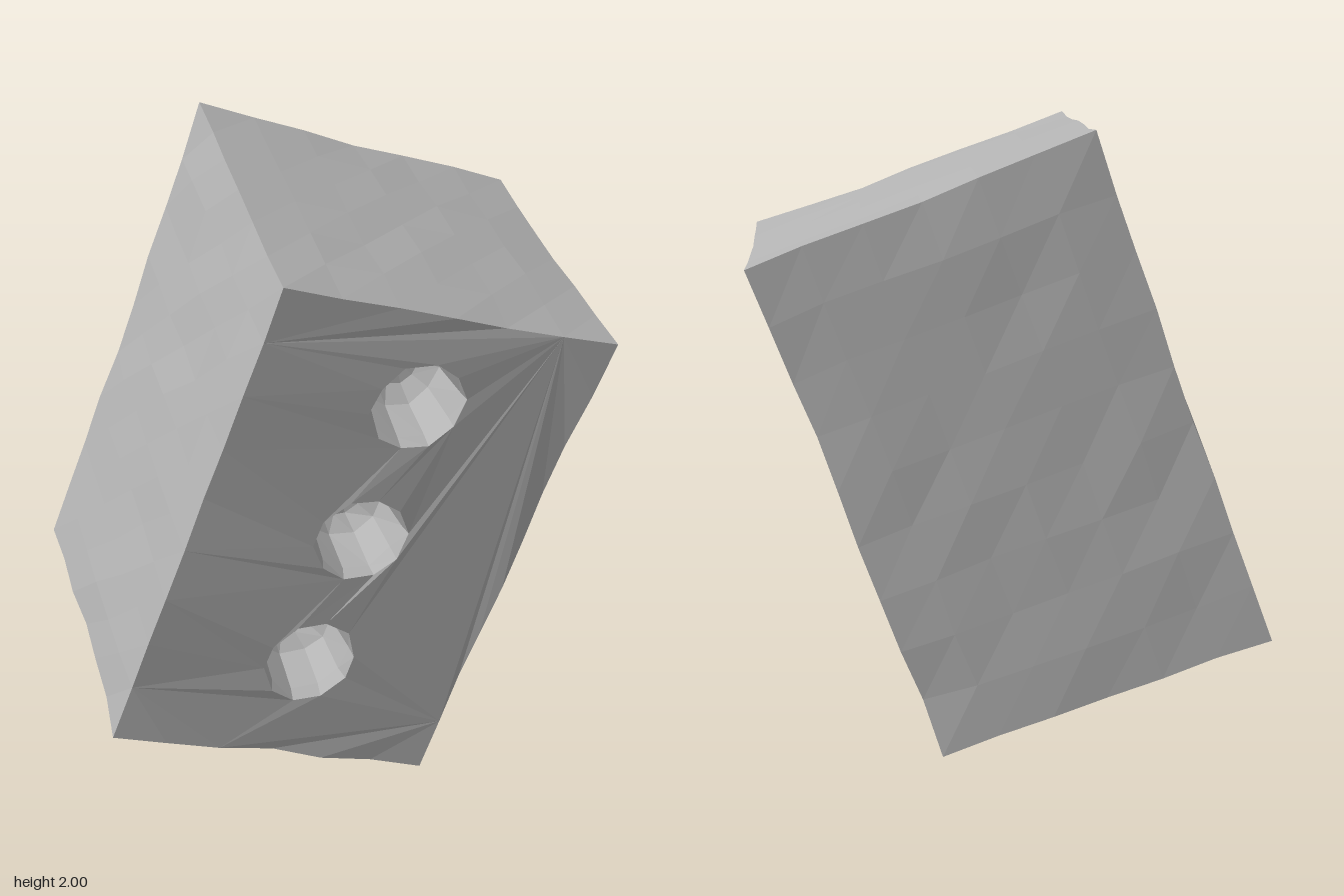
import * as THREE from 'three';

// Corners of the leaning block, indexed by x + 2y + 4z (0 = right/bottom/back side of -x, -y, -z)
const CORNERS = [
  [-0.82, 0.42, -0.55], [0.20, 0.07, -0.60], [-0.26, 2.00, -0.52], [0.77, 1.60, -0.56],
  [-0.78, 0.37, 0.56], [0.24, 0.00, 0.49], [-0.23, 1.91, 0.59], [0.81, 1.55, 0.51],
].map((c) => new THREE.Vector3(...c));
const CENTRE = new THREE.Vector3(0, 0.98, 0);
const SEG = { x: 6, y: 9, z: 6 };
const SIDES = 10;

// Repeatable roughness that depends only on position, so neighbouring parts meet
function rough(x, y, z, seed) {
  const q = (v) => Math.round(v * 1000);
  const s = Math.sin(q(x) * 0.129 + q(y) * 0.782 + q(z) * 0.377 + seed * 17.3) * 4375.85;
  return s - Math.floor(s);
}

// Map a unit-box geometry onto the leaning block, with rough faces and chipped edges
function deform(geometry) {
  const pos = geometry.attributes.position;
  for (let i = 0; i < pos.count; i++) {
    const u = [pos.getX(i), pos.getY(i), pos.getZ(i)];
    const p = new THREE.Vector3();
    CORNERS.forEach((corner, k) => {
      const w = u.reduce((acc, v, axis) => acc * ((k >> axis) & 1 ? 0.5 + v : 0.5 - v), 1);
      p.addScaledVector(corner, w);
    });
    const onSides = u.filter((v) => Math.abs(v) > 0.499).length;
    if (onSides < 3) {
      p.x += (rough(...u, 1) - 0.5) * 0.01;
      p.y += (rough(...u, 2) - 0.5) * 0.01;
      p.z += (rough(...u, 3) - 0.5) * 0.01;
    }
    if (onSides === 2) p.lerp(CENTRE, rough(...u, 4) * 0.016);
    pos.setXYZ(i, p.x, p.y, p.z);
  }
  geometry.computeVertexNormals();
  return geometry;
}

// Five closed sides of the block; the front is left open for the drilled panel
function makeSides() {
  const g = new THREE.BoxGeometry(1, 1, 1, SEG.x, SEG.y, SEG.z);
  const front = g.groups[4];
  const index = Array.from(g.index.array);
  index.splice(front.start, front.count);
  g.setIndex(index);
  g.clearGroups();
  return deform(g);
}

const HOLES = [
  { name: 'upperHole', y: 0.31 },
  { name: 'middleHole', y: 0.015 },
  { name: 'lowerHole', y: -0.275 },
];
const RX = 0.136;
const RY = 0.092;

// Front panel with three round openings
function makeFront() {
  const outline = [];
  const edge = (x0, y0, x1, y1, n) => {
    for (let i = 0; i < n; i++) {
      outline.push(new THREE.Vector2(x0 + ((x1 - x0) * i) / n, y0 + ((y1 - y0) * i) / n));
    }
  };
  edge(-0.5, -0.5, 0.5, -0.5, SEG.x);
  edge(0.5, -0.5, 0.5, 0.5, SEG.y);
  edge(0.5, 0.5, -0.5, 0.5, SEG.x);
  edge(-0.5, 0.5, -0.5, -0.5, SEG.y);
  const shape = new THREE.Shape(outline);
  for (const hole of HOLES) {
    const ring = [];
    for (let i = 0; i < SIDES; i++) {
      const a = (i / SIDES) * Math.PI * 2;
      ring.push(new THREE.Vector2(RX * Math.sin(a), hole.y - RY * Math.cos(a)));
    }
    shape.holes.push(new THREE.Path(ring));
  }
  return deform(new THREE.ShapeGeometry(shape).translate(0, 0, 0.5));
}

// Faceted cup sunk into the front, running from rim to floor
function makeCup(y) {
  const profile = [[1, 0], [0.93, -0.04], [0.84, -0.18], [0.5, -0.22], [0, -0.23]]
    .map(([r, d]) => new THREE.Vector2(r, d));
  const g = new THREE.LatheGeometry(profile, SIDES);
  g.rotateX(Math.PI / 2);
  g.scale(RX, RY, 1);
  g.translate(0, y, 0.5);
  return deform(g);
}

export function createModel() {
  const stone = new THREE.MeshStandardMaterial({ color: 0xb3b3b3 });
  stone.name = 'grey stone';
  stone.flatShading = true;
  stone.side = THREE.DoubleSide;

  const model = new THREE.Group();
  model.name = 'drilledBlock';
  const add = (name, geometry) => {
    const mesh = new THREE.Mesh(geometry, stone);
    mesh.name = name;
    model.add(mesh);
  };
  add('blockSides', makeSides());
  add('frontPanel', makeFront());
  for (const hole of HOLES) add(hole.name, makeCup(hole.y));
  return model;
}
